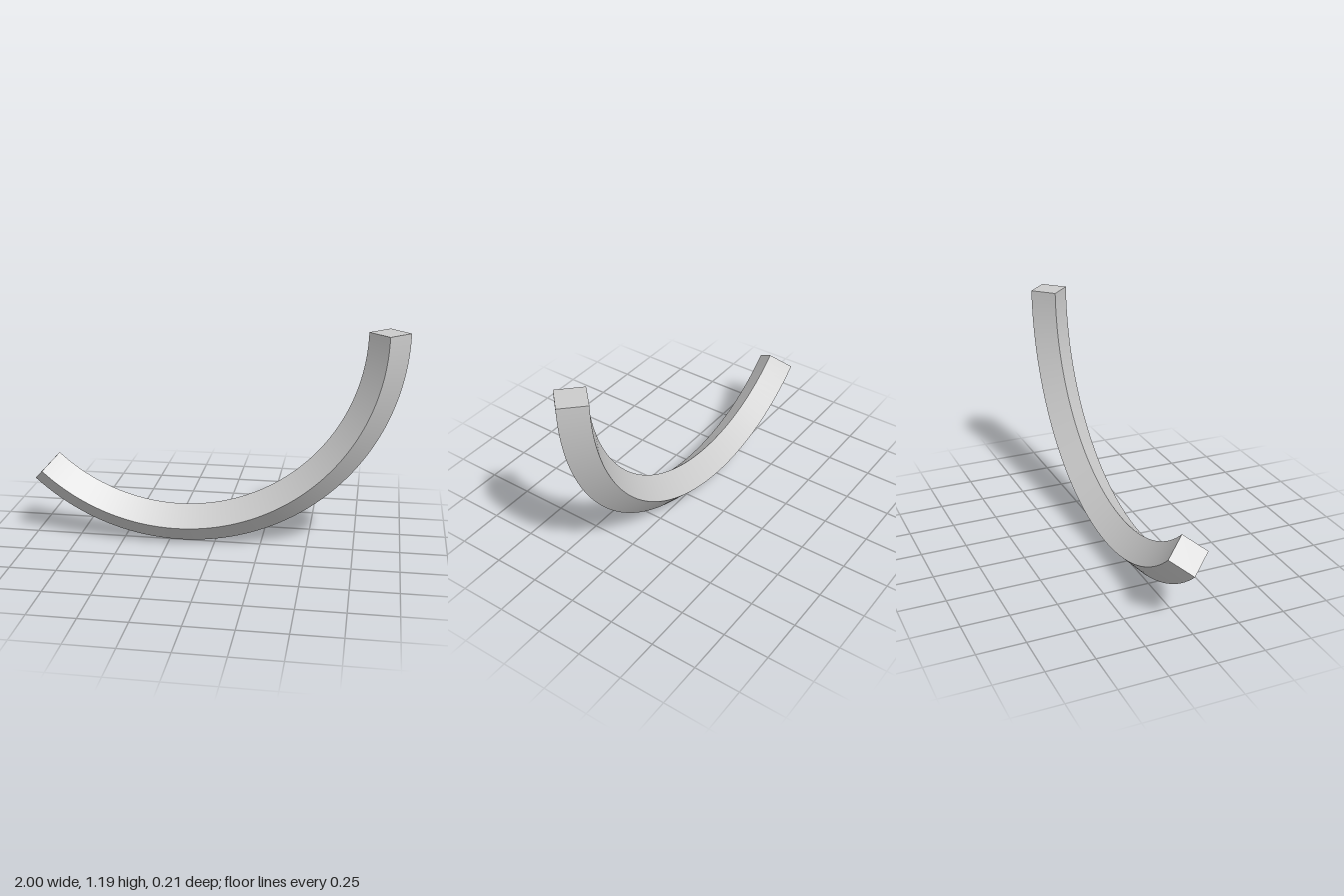
import * as THREE from 'three';
import { mergeGeometries } from 'three/addons/utils/BufferGeometryUtils.js';

export function createModel() {
  const R = 1.087;      // radius of the arc's centre line
  const h = 0.106;      // half diagonal of the diamond section
  const arc = THREE.MathUtils.degToRad(132.6);
  const parts = [];

  // Diamond section corners, counterclockwise from the outer edge
  const corners = [[R + h, 0], [R, h], [R - h, 0], [R, -h]]
    .map(([x, y]) => new THREE.Vector2(x, y));

  // One smooth swept strip per side, so the four long edges stay sharp
  corners.forEach((p, i) => {
    const strip = new THREE.LatheGeometry([p, corners[(i + 1) % 4]], 64, Math.PI / 2 - arc, arc);
    parts.push(strip.rotateX(Math.PI / 2));
  });

  // Flat diamond caps: upper right end, then lower left end
  for (const [tilt, turn] of [[-Math.PI / 2, 0], [Math.PI / 2, -arc]]) {
    parts.push(new THREE.CircleGeometry(h, 4).rotateX(tilt).translate(R, 0, 0).rotateZ(turn));
  }

  const bar = new THREE.Mesh(
    mergeGeometries(parts),
    new THREE.MeshStandardMaterial({ color: 0xcccccc })
  );
  bar.name = 'curvedBar';
  bar.position.set(1 - R - h, R + h, 0);

  const group = new THREE.Group();
  group.name = 'curvedSquareBar';
  group.add(bar);
  return group;
}
